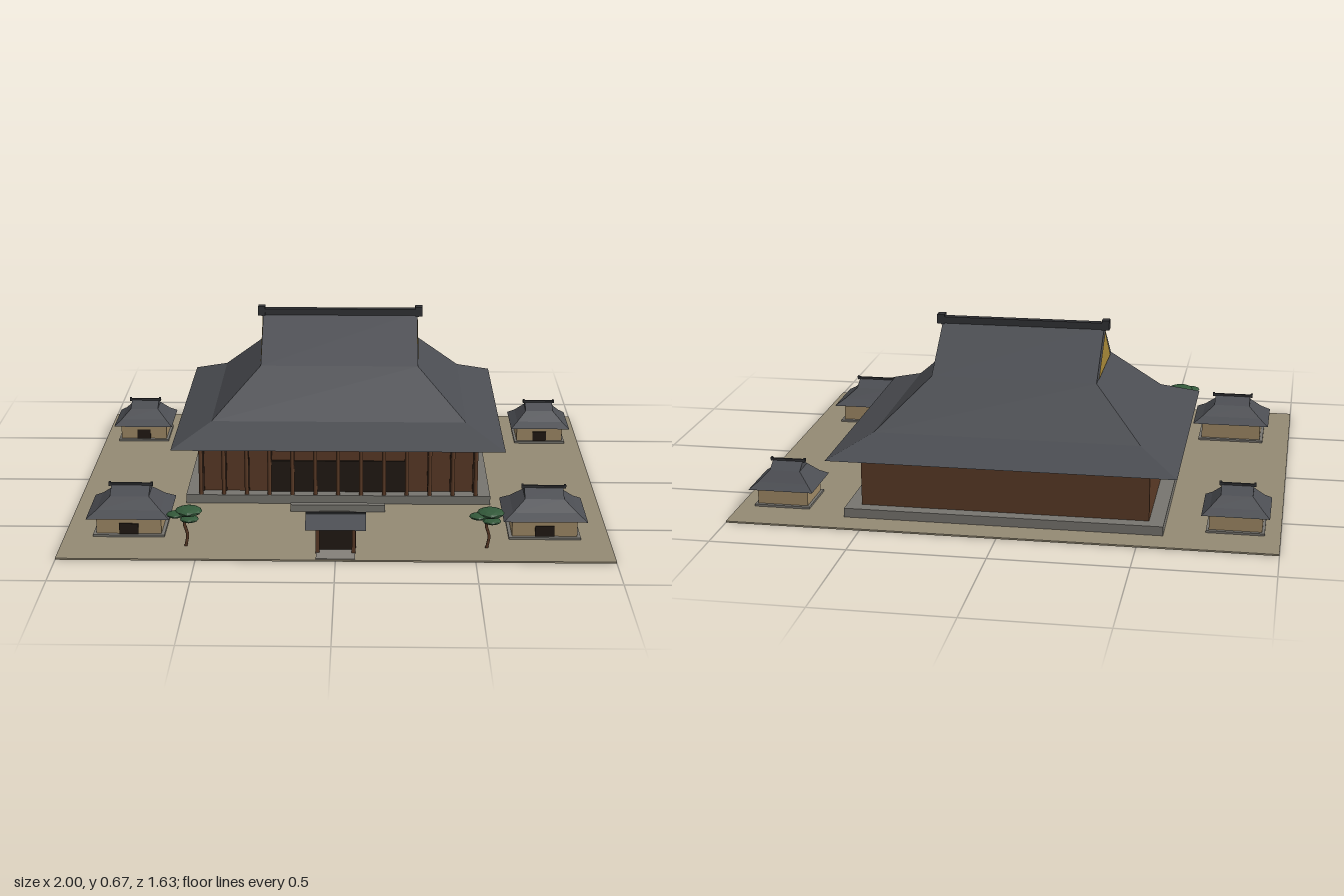
import * as THREE from 'three';

const mat = (color, extra = {}) => new THREE.MeshStandardMaterial({ color, ...extra });
const M = {
  ground: mat(0x948a74), stone: mat(0x77756f), path: mat(0x85817a),
  wood: mat(0x5a3a26), darkWood: mat(0x35241a), door: mat(0x211913),
  plaster: mat(0xa08a66), gold: mat(0xa88838, { side: THREE.DoubleSide }),
  tile: mat(0x4b4d52, { flatShading: true, side: THREE.DoubleSide }),
  ridge: mat(0x323336), leaf: mat(0x33593a, { flatShading: true }),
};

function add(parent, name, geometry, material, x = 0, y = 0, z = 0) {
  const mesh = new THREE.Mesh(geometry, material);
  mesh.name = name;
  mesh.position.set(x, y, z);
  parent.add(mesh);
  return mesh;
}

// Box given by its centre in x and z, and its bottom and top in y
function box(parent, name, material, w, d, y0, y1, x = 0, z = 0) {
  return add(parent, name, new THREE.BoxGeometry(w, y1 - y0, d), material, x, (y0 + y1) / 2, z);
}

function group(parent, name, x = 0, z = 0) {
  const g = new THREE.Group();
  g.name = name;
  g.position.set(x, 0, z);
  parent.add(g);
  return g;
}

function facets(quads) {
  const p = [];
  for (const [a, b, c, d] of quads) {
    p.push(...a, ...b, ...c);
    if (d) p.push(...a, ...c, ...d);
  }
  const geo = new THREE.BufferGeometry();
  geo.setAttribute('position', new THREE.Float32BufferAttribute(p, 3));
  geo.computeVertexNormals();
  return geo;
}

// Hip-and-gable roof: rings are [halfX, y, halfZ] from the eaves up to the gable foot
function hipGableRoof(parent, rings, ridgeY) {
  const loops = rings.map(([x, y, z]) => [[-x, y, z], [x, y, z], [x, y, -z], [-x, y, -z]]);
  const quads = [[...loops[0]].reverse()];
  for (let i = 0; i < loops.length - 1; i++) {
    for (let k = 0; k < 4; k++) {
      const n = (k + 1) % 4;
      quads.push([loops[i][k], loops[i][n], loops[i + 1][n], loops[i + 1][k]]);
    }
  }
  const [a, b, c, d] = loops.at(-1);
  const l = [a[0], ridgeY, 0], r = [b[0], ridgeY, 0];
  quads.push([a, b, r, l], [c, d, l, r], [b, c, r], [d, a, l]);
  add(parent, 'roof', facets(quads), M.tile);
}

function mainHall(root) {
  const hall = group(root, 'mainHall', 0, -0.22);
  box(hall, 'platform', M.stone, 1.17, 0.97, 0.005, 0.04);
  box(hall, 'walls', M.wood, 1.06, 0.87, 0.04, 0.24);
  box(hall, 'wallBeam', M.darkWood, 1.07, 0.88, 0.215, 0.236);
  box(hall, 'doors', M.door, 0.54, 0.012, 0.04, 0.165, 0, 0.438);
  box(hall, 'verandaBeam', M.darkWood, 1.07, 0.014, 0.222, 0.24, 0, 0.475);
  // Veranda columns along the front
  const columnGeo = new THREE.CylinderGeometry(0.008, 0.008, 0.2, 10);
  for (let i = 0; i < 13; i++) {
    add(hall, 'column', columnGeo, M.wood, -0.528 + i * 0.088, 0.14, 0.475);
    box(hall, 'wallPost', M.darkWood, 0.012, 0.012, 0.04, 0.22, -0.524 + i * 0.0873, 0.436);
  }
  hipGableRoof(hall, [[0.635, 0.24, 0.543], [0.49, 0.307, 0.39], [0.308, 0.48, 0.22]], 0.64);
  // Gable panels and ridge ends
  for (const s of [-1, 1]) {
    const x = s * 0.311;
    add(hall, 'gablePanel', facets([[[x, 0.482, s * 0.175], [x, 0.482, -s * 0.175], [x, 0.622, 0]]]), M.gold);
    box(hall, 'ridgeEnd', M.ridge, 0.028, 0.036, 0.628, 0.665, s * 0.314, 0);
  }
  box(hall, 'ridge', M.ridge, 0.63, 0.028, 0.625, 0.655);
}

function storehouse(root, x, z, w, d, h) {
  const store = group(root, 'storehouse', x, z);
  const eave = 0.45 * h;
  box(store, 'base', M.stone, w * 0.86, d * 0.86, 0.005, 0.014);
  box(store, 'walls', M.plaster, w * 0.78, d * 0.74, 0.014, eave + 0.004);
  box(store, 'door', M.door, w * 0.23, 0.01, 0.014, 0.054, 0, d * 0.37);
  hipGableRoof(store, [
    [w / 2, eave, d / 2], [w * 0.385, h * 0.58, d * 0.36], [w * 0.235, h * 0.8, d * 0.215],
  ], h * 0.96);
  box(store, 'ridge', M.ridge, w * 0.5, 0.01, h * 0.93, h * 0.99);
  for (const s of [-1, 1]) box(store, 'ridgeEnd', M.ridge, 0.008, 0.012, h * 0.93, h * 1.01, s * w * 0.255);
}

function gate(root) {
  const g = group(root, 'gate', 0, 0.725);
  for (const x of [-0.065, 0.065]) {
    for (const z of [-0.03, 0.022]) box(g, 'gatePost', M.wood, 0.014, 0.014, 0.005, 0.118, x, z);
    box(g, 'sideBeam', M.wood, 0.012, 0.07, 0.104, 0.118, x, -0.004);
  }
  box(g, 'gateDoor', M.door, 0.124, 0.008, 0.008, 0.098, 0, -0.004);
  box(g, 'lintel', M.wood, 0.15, 0.016, 0.098, 0.112, 0, 0.022);
  // Simple gabled roof
  const end = (x) => [[x, 0.113, 0.075], [x, 0.113, -0.075], [x, 0.15, 0]];
  const [a, b, t] = end(-0.108), [c, d, u] = end(0.108);
  add(g, 'gateRoof', facets([[a, c, u, t], [d, b, t, u], [c, d, u], [b, a, t], [a, b, d, c]]), M.tile);
  box(g, 'gateRidge', M.ridge, 0.216, 0.008, 0.147, 0.154);
}

function pine(root, x, z) {
  const tree = group(root, 'pine', x, z);
  const trunk = new THREE.CatmullRomCurve3([
    new THREE.Vector3(0, 0.004, 0), new THREE.Vector3(0.008, 0.05, 0),
    new THREE.Vector3(-0.003, 0.095, 0.003), new THREE.Vector3(0.005, 0.138, 0),
  ]);
  add(tree, 'trunk', new THREE.TubeGeometry(trunk, 8, 0.006, 6), M.wood);
  const pads = [[0.012, 0.138, -0.008, 0.05], [-0.032, 0.132, 0.012, 0.034], [0.016, 0.112, 0.006, 0.034]];
  for (const [px, py, pz, r] of pads) {
    const pad = add(tree, 'foliagePad', new THREE.IcosahedronGeometry(r, 1), M.leaf, px, py, pz);
    pad.scale.y = 0.3;
  }
}

export function createModel() {
  const root = new THREE.Group();
  root.name = 'templeCompound';
  box(root, 'ground', M.ground, 2, 1.63, 0, 0.006);
  box(root, 'path', M.path, 0.14, 0.47, 0.003, 0.009, 0, 0.575);
  mainHall(root);
  // Front steps, rising outward
  for (let i = 0; i < 3; i++) {
    box(root, 'step', M.stone, 0.36, 0.026, 0.004, 0.014 + i * 0.01, 0, 0.293 + i * 0.022);
  }
  gate(root);
  for (const s of [-1, 1]) {
    storehouse(root, s * 0.763, 0.505, 0.306, 0.25, 0.18);
    storehouse(root, s * 0.838, -0.55, 0.244, 0.23, 0.167);
    pine(root, s * 0.545, 0.69);
  }
  return root;
}
